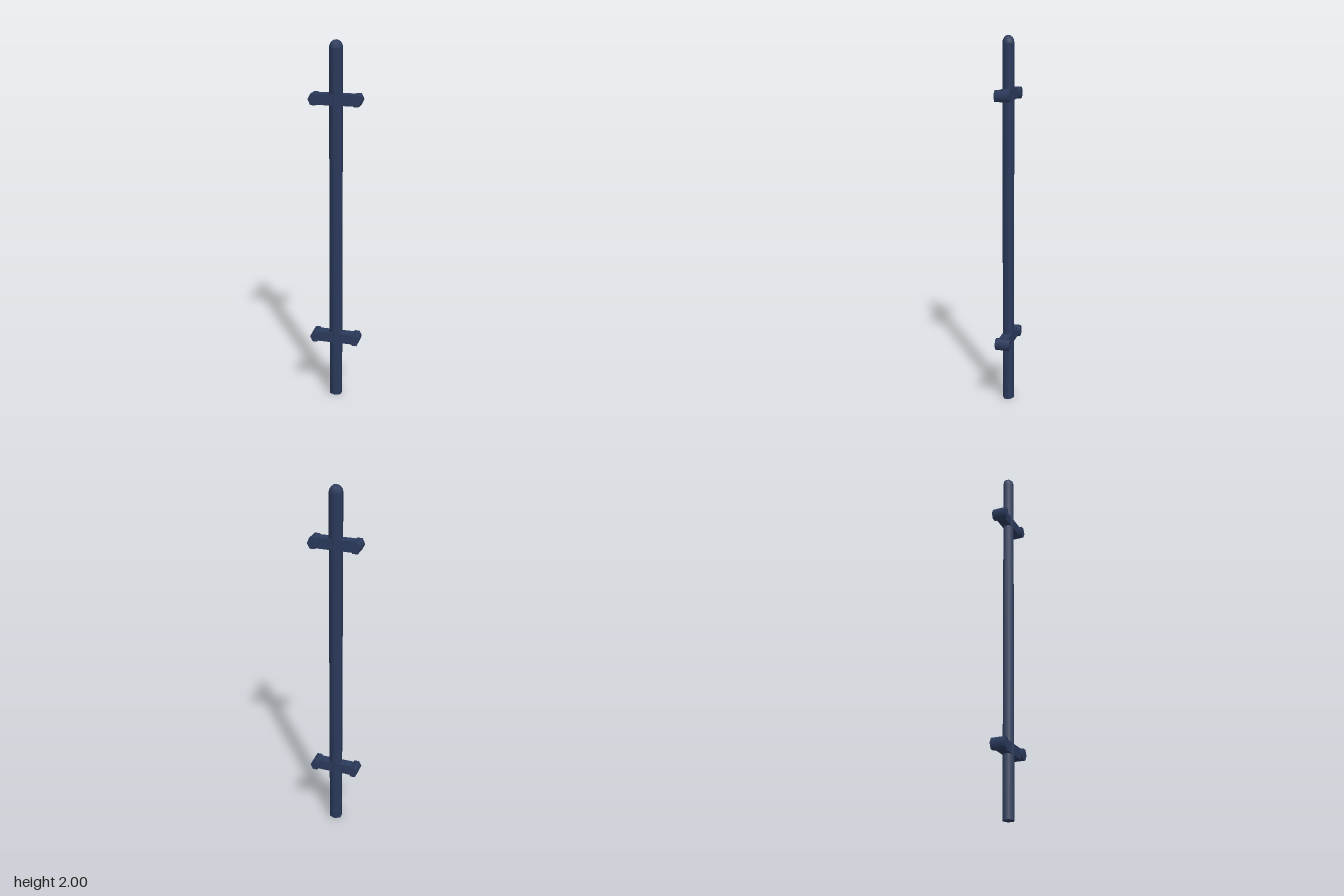
import * as THREE from 'three';

export function createModel() {
  const model = new THREE.Group();
  model.name = 'postWithCrossbars';
  const material = new THREE.MeshStandardMaterial({ color: 0x2b3a5c });

  function add(parent, name, geometry, x, y, z) {
    const mesh = new THREE.Mesh(geometry, material);
    mesh.name = name;
    mesh.position.set(x, y, z);
    parent.add(mesh);
    return mesh;
  }

  // Six-sided upright, slightly widened across its flats
  const radius = 0.032;
  const widen = 1.17;
  const domeBase = 1.96;
  const shaft = new THREE.CylinderGeometry(radius, radius, domeBase, 6);
  shaft.scale(widen, 1, 1);
  add(model, 'shaft', shaft, 0, domeBase / 2, 0);

  // Rounded tip
  const profile = [];
  for (let i = 0; i <= 4; i++) {
    const a = (i / 4) * Math.PI / 2;
    profile.push(new THREE.Vector2(i === 4 ? 0 : radius * Math.cos(a), (2 - domeBase) * Math.sin(a)));
  }
  const tip = new THREE.LatheGeometry(profile, 6);
  tip.scale(widen, 1, 1);
  add(model, 'tip', tip, 0, domeBase, 0);

  // Crossbars with a six-sided roller across each end
  const roller = new THREE.CylinderGeometry(0.0275, 0.0275, 0.08, 6, 1, false, Math.PI / 2);
  roller.rotateX(Math.PI / 2);
  roller.scale(1, 1.22, 1);
  const bar = new THREE.BoxGeometry(0.215, 0.058, 0.052);
  for (const [name, y] of [['lowerCrossbar', 0.36], ['upperCrossbar', 1.70]]) {
    const group = new THREE.Group();
    group.name = name;
    group.position.y = y;
    add(group, 'bar', bar, 0, 0, 0);
    add(group, 'leftEnd', roller, 0.1125, 0, 0);
    add(group, 'rightEnd', roller, -0.1125, 0, 0);
    model.add(group);
  }
  return model;
}
